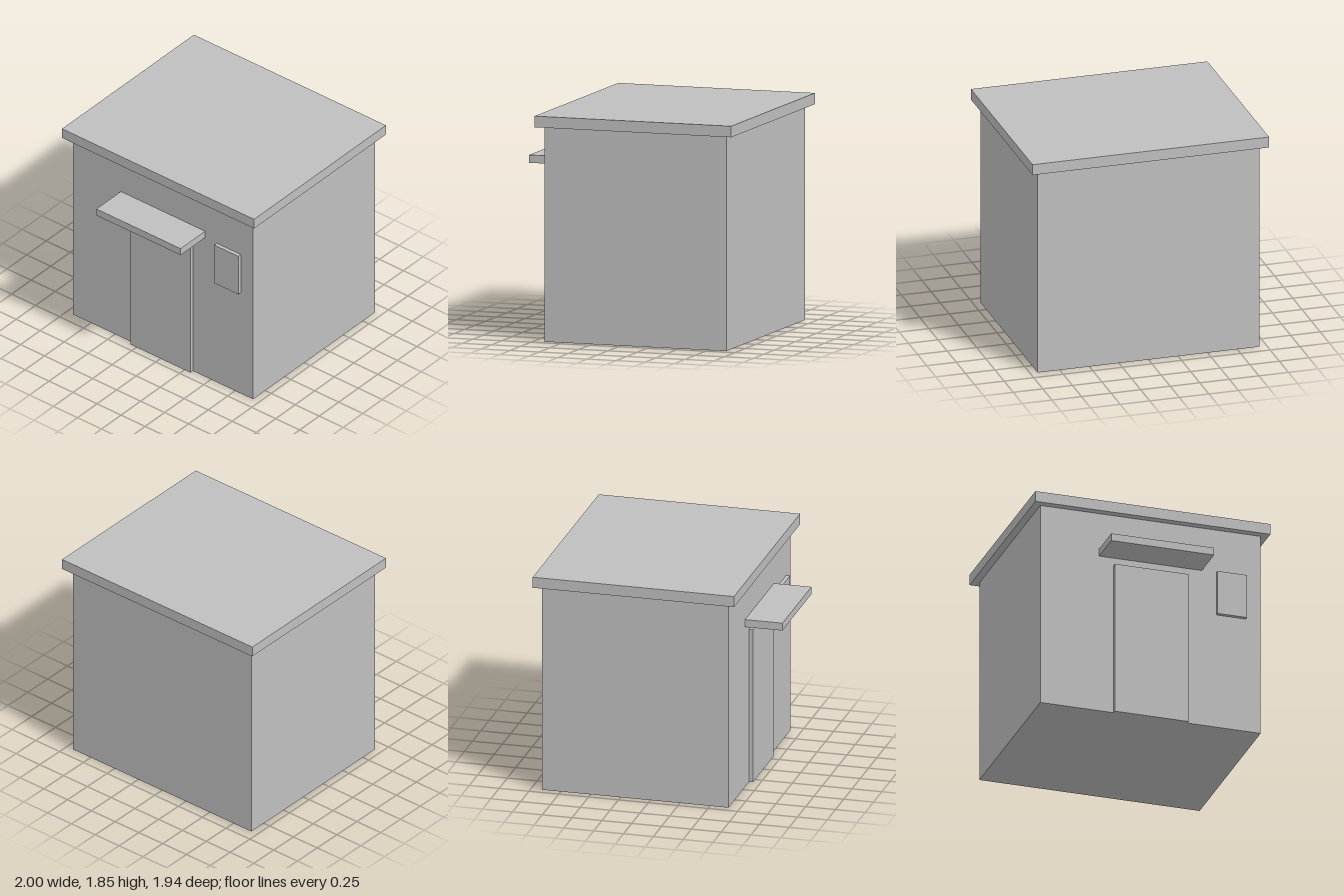
import * as THREE from 'three';

export function createModel() {
  const model = new THREE.Group();
  model.name = 'smallBuilding';
  const grey = new THREE.MeshStandardMaterial({ color: 0xbfbfbf });
  grey.name = 'plain grey';

  // Box given by its lower and upper bounds on each axis
  function addBox(name, [x0, x1], [y0, y1], [z0, z1]) {
    const mesh = new THREE.Mesh(new THREE.BoxGeometry(x1 - x0, y1 - y0, z1 - z0), grey);
    mesh.position.set((x0 + x1) / 2, (y0 + y1) / 2, (z0 + z1) / 2);
    mesh.name = name;
    model.add(mesh);
  }

  const wall = 0.656; // front wall plane
  const relief = 0.688; // front of the door and panel

  // Main volume and overhanging flat roof
  addBox('walls', [-0.938, 0.938], [0, 1.756], [-0.906, wall]);
  addBox('roofSlab', [-1, 1], [1.756, 1.847], [-0.969, 0.719]);

  // Entrance with canopy, and the wall panel beside it
  addBox('door', [-0.313, 0.313], [0, 1.313], [wall, relief]);
  addBox('canopy', [-0.438, 0.438], [1.378, 1.442], [wall, 0.969]);
  addBox('wallPanel', [0.56, 0.81], [1.0, 1.378], [wall, relief]);

  return model;
}
